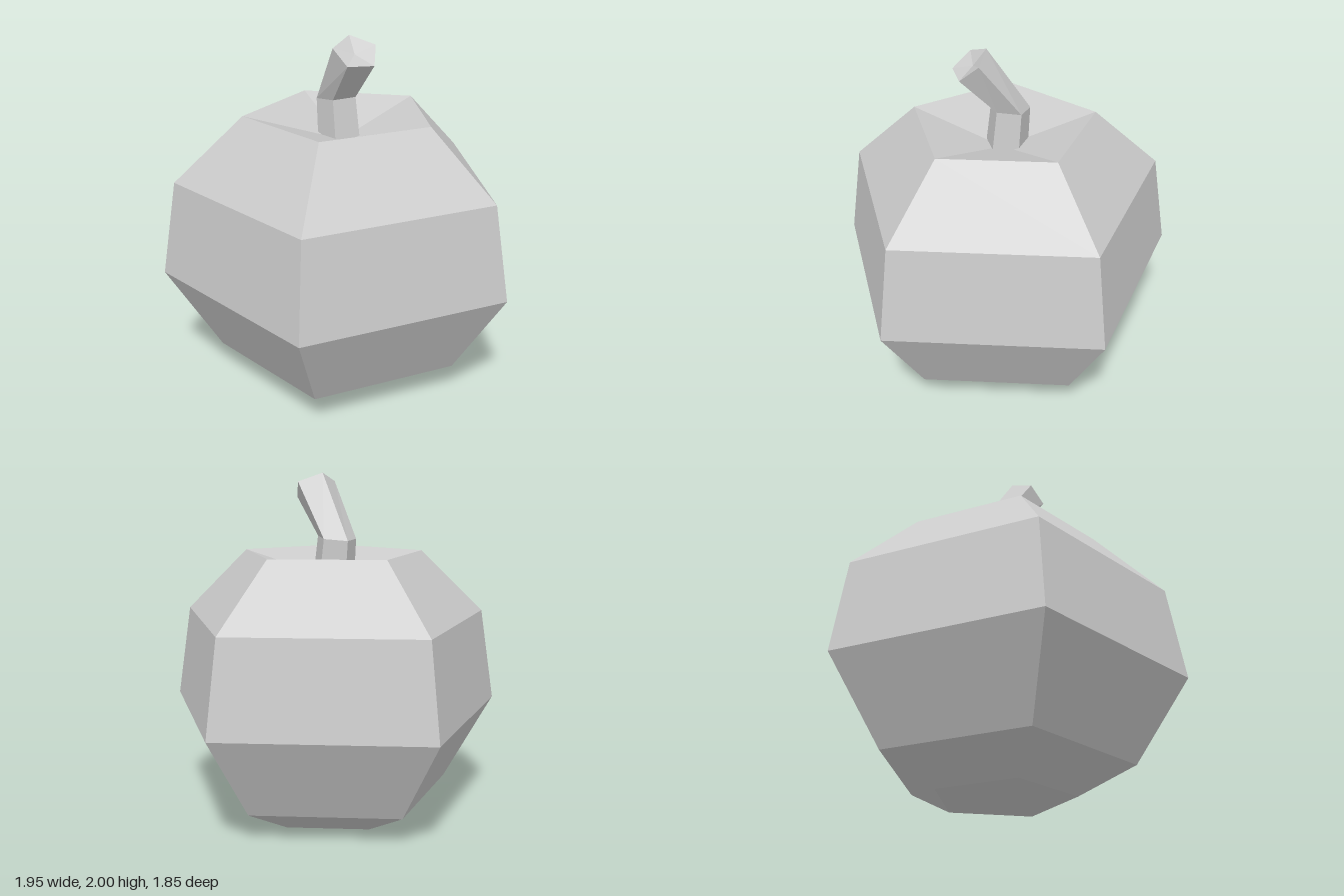
import * as THREE from 'three';

const SIDES = 5;

// Five-sided horizontal ring with one corner pointing backwards
function ring(x, y, z, r, tilt = 0) {
  return Array.from({ length: SIDES }, (_, i) => {
    const a = Math.PI + (i * 2 * Math.PI) / SIDES;
    const dx = r * Math.sin(a);
    return [x + dx, y + dx * tilt, z + r * Math.cos(a)];
  });
}

// Skin a stack of rings and close the last one with a fan to the tip point
function loft(rings, tip) {
  const position = [];
  const tri = (...corners) => corners.forEach((c) => position.push(...c));
  for (let k = 0; k < rings.length; k++) {
    const a = rings[k], b = rings[k + 1];
    for (let i = 0; i < SIDES; i++) {
      const j = (i + 1) % SIDES;
      if (b) {
        tri(a[i], a[j], b[j]);
        tri(a[i], b[j], b[i]);
      } else tri(a[i], a[j], tip);
    }
  }
  const geometry = new THREE.BufferGeometry();
  geometry.setAttribute('position', new THREE.Float32BufferAttribute(position, 3));
  geometry.computeVertexNormals();
  return geometry;
}

export function createModel() {
  const group = new THREE.Group();
  group.name = 'pumpkin';
  const material = new THREE.MeshStandardMaterial({ color: 0xcccccc, flatShading: true });

  // Body: pentagonal lathe, hollowed at the base and around the stem
  const profile = [
    [0, 0.1], [0.4, 0], [0.715, 0.16], [1.023, 0.64],
    [0.936, 1.18], [0.545, 1.55], [0, 1.4],
  ].map(([r, y]) => new THREE.Vector2(r, y));
  const body = new THREE.Mesh(new THREE.LatheGeometry(profile, SIDES, Math.PI), material);
  body.name = 'body';
  body.position.z = 0.095;
  group.add(body);

  // Stem: short upright foot, then a bend towards the left with a dished cut end
  const cutEnd = [
    [0.19, 1.95, 0.02], [0.085, 2.0, 0.115], [0.105, 1.95, 0.25],
    [0.22, 1.87, 0.25], [0.265, 1.86, 0.1],
  ];
  const stem = new THREE.Mesh(
    loft([ring(-0.02, 1.39, 0.085, 0.125), ring(-0.045, 1.635, 0.085, 0.115, 0.1), cutEnd], [0.155, 1.91, 0.14]),
    material
  );
  stem.name = 'stem';
  group.add(stem);

  return group;
}
